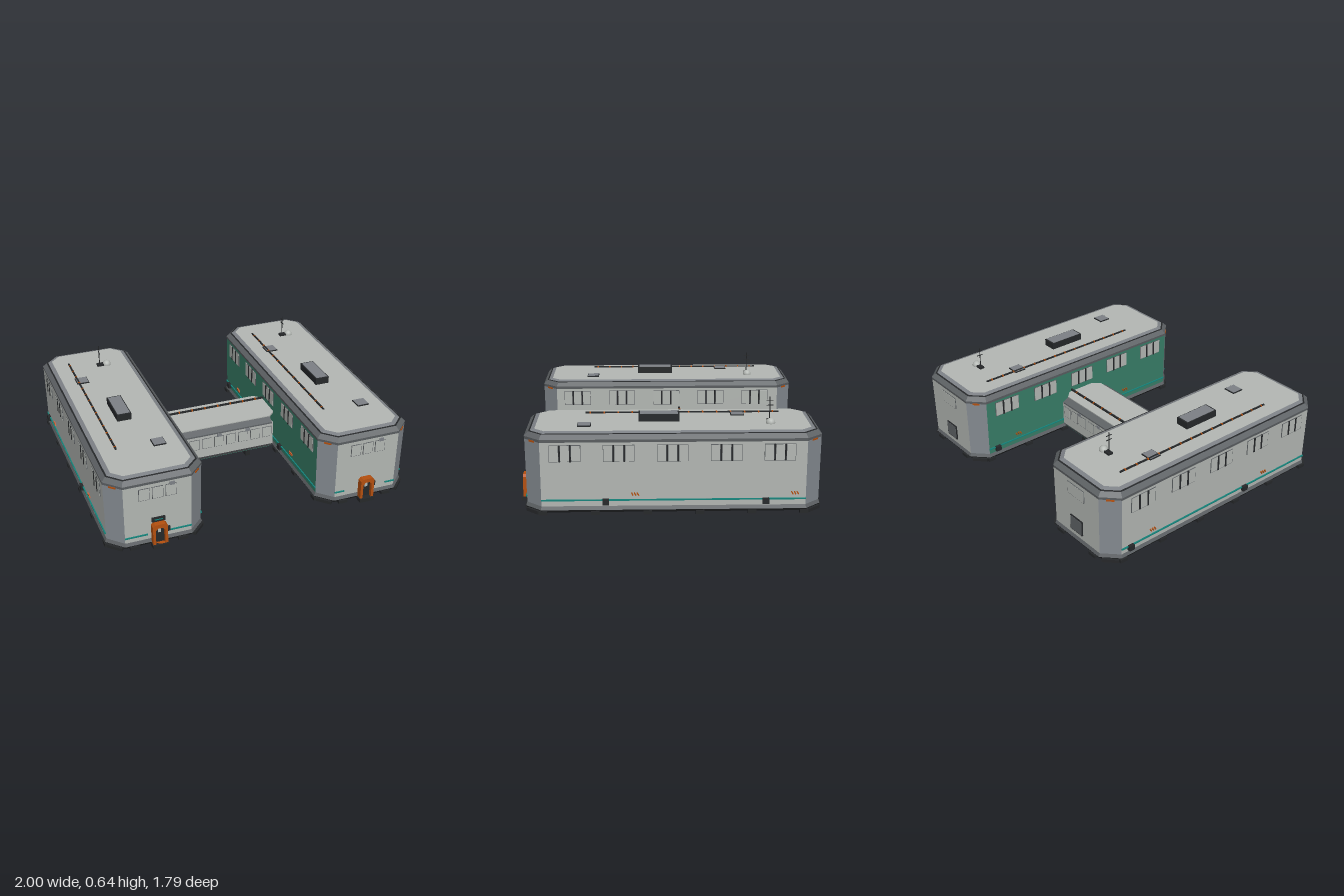
import * as THREE from 'three';

const mat = (name, color) => {
  const m = new THREE.MeshStandardMaterial({ color });
  m.name = name;
  return m;
};

export function createModel() {
  const hull = mat('hullGrey', 0xb4b8b4);
  const corner = mat('cornerGrey', 0x868c92);
  const trim = mat('trimGrey', 0x5f6366);
  const black = mat('black', 0x26282a);
  const orange = mat('orange', 0xb5500f);
  const green = mat('innerGreen', 0x387f69);
  const stripe = mat('stripeTeal', 0x15857c);
  const panel = mat('panelGrey', 0x7d8186);

  const model = new THREE.Group();
  model.name = 'twinStation';

  const add = (parent, name, geo, material, x = 0, y = 0, z = 0) => {
    const m = new THREE.Mesh(geo, material);
    m.name = name;
    m.position.set(x, y, z);
    parent.add(m);
    return m;
  };
  const box = (parent, name, material, w, h, d, x, y, z) =>
    add(parent, name, new THREE.BoxGeometry(w, h, d), material, x, y, z);

  const A = 0.305, B = 0.867, C = 0.095, MZ = -0.022;

  // Long octagon at a given height, moved in by an inset
  const ring = ([inset, y]) => {
    const a = A - inset, b = B - inset, c = C - inset * 0.586;
    return [[a, b - c], [a, c - b], [a - c, -b], [c - a, -b], [-a, c - b], [-a, b - c], [c - a, b], [a - c, b]]
      .map(([x, z]) => [x, y, z]);
  };
  // One band between two octagons; pick(edge) selects the sides to build
  const band = (parent, name, material, lo, hi, pick = () => true) => {
    const p = ring(lo), q = ring(hi), v = [];
    for (let i = 0; i < 8; i++) {
      if (!pick(i)) continue;
      const j = (i + 1) % 8;
      v.push(...p[i], ...p[j], ...q[j], ...p[i], ...q[j], ...q[i]);
    }
    return fromVerts(parent, name, material, v);
  };
  const cap = (parent, name, material, level, up) => {
    const p = ring(level), v = [];
    for (let i = 1; i < 7; i++) v.push(...p[0], ...(up ? p[i] : p[i + 1]), ...(up ? p[i + 1] : p[i]));
    return fromVerts(parent, name, material, v);
  };
  function fromVerts(parent, name, material, v) {
    const g = new THREE.BufferGeometry();
    g.setAttribute('position', new THREE.Float32BufferAttribute(v, 3));
    g.computeVertexNormals();
    return add(parent, name, g, material);
  }

  function buildModule(cx, isLeft) {
    const g = new THREE.Group();
    g.name = isLeft ? 'leftModule' : 'rightModule';
    g.position.set(cx, 0, MZ);
    model.add(g);
    const W0 = [0.008, 0.05], W1 = [0.002, 0.435];

    // Shell, from the floor up to the roof
    cap(g, 'floor', green, [0.01, 0.012], false);
    band(g, 'baseSkirt', black, [0.01, 0.012], [0, 0.028]);
    band(g, 'baseTrim', trim, [0, 0.028], W0);
    band(g, 'walls', hull, W0, W1, i => i % 2 === 0 && !(isLeft && i === 4));
    if (isLeft) band(g, 'innerWall', green, W0, W1, i => i === 4);
    band(g, 'cornerPanels', corner, W0, W1, i => i % 2 === 1);
    band(g, 'roofLip', trim, W1, [0, 0.452]);
    band(g, 'roofSlope', trim, [0, 0.452], [0.025, 0.477]);
    band(g, 'roofSeam', black, [0.025, 0.477], [0.035, 0.48]);
    band(g, 'roofRim', panel, [0.035, 0.48], [0.06, 0.488]);
    cap(g, 'roof', hull, [0.06, 0.488], true);

    // Long sides: window groups, stripe, lamps, hazard marks
    for (const s of [-1, 1]) {
      const x = s * 0.302;
      for (let k = -2; k <= 2; k++) {
        const zc = 0.007 + k * 0.31;
        for (const o of [-0.063, 0, 0.063]) {
          box(g, 'windowFrame', trim, 0.008, 0.1, 0.056, x, 0.37, zc + o);
          box(g, 'windowPane', hull, 0.009, 0.094, 0.05, x + s * 0.001, 0.37, zc + o);
        }
        for (const o of [-0.031, 0.031]) box(g, 'windowBar', black, 0.014, 0.1, 0.009, x + s * 0.002, 0.37, zc + o);
      }
      box(g, 'sideStripe', stripe, 0.009, 0.008, 1.54, s * 0.301, 0.087, 0);
      const near = s > 0 ? [0.395, -0.535] : [0.225, -0.705];
      const far = s > 0 ? [0.225, -0.705] : [0.395, -0.535];
      for (const z of near) box(g, 'sideLamp', black, 0.025, 0.034, 0.038, s * 0.305, 0.077, z);
      for (const z of far) for (const o of [-0.016, 0, 0.016]) {
        box(g, 'hazardMark', orange, 0.009, 0.02, 0.007, s * 0.301, 0.122, z + o).rotation.x = s * 0.5;
      }
      for (let k = 0; k < 6; k++) box(g, 'baseFoot', black, 0.03, 0.022, 0.05, s * 0.297, 0.011, -0.76 + k * 0.304);
      // Corner marks and corner feet
      for (const e of [-1, 1]) {
        const mark = box(g, 'cornerMark', orange, 0.045, 0.01, 0.008, s * (A - C / 2 - 0.001), 0.433, e * (B - C / 2 - 0.001));
        mark.rotation.y = s * e * Math.PI / 4;
        const foot = box(g, 'cornerFoot', black, 0.1, 0.02, 0.025, s * (A - C / 2), 0.012, e * (B - C / 2));
        foot.rotation.y = s * e * Math.PI / 4;
        box(g, 'endFoot', black, 0.06, 0.02, 0.03, s * 0.15, 0.011, e * 0.86);
      }
    }

    // Front: windows, stripe, doorway
    const f = 0.864;
    for (const o of [-0.082, 0, 0.082]) {
      box(g, 'frontWindowFrame', trim, 0.068, 0.08, 0.008, o, 0.373, f);
      box(g, 'frontWindowPane', hull, 0.062, 0.074, 0.009, o, 0.373, f + 0.001);
    }
    box(g, 'frontVent', panel, 0.03, 0.022, 0.014, 0.09, 0.416, f);
    const len = isLeft ? 0.065 : 0.14;
    for (const s of [-1, 1]) box(g, 'frontStripe', stripe, len, 0.008, 0.009, s * (0.208 - len / 2), 0.085, f - 0.002);

    const arch = (w, h, r) => {
      const a = new THREE.Shape();
      a.moveTo(-w, 0); a.lineTo(w, 0); a.lineTo(w, h - r); a.lineTo(w - r, h);
      a.lineTo(r - w, h); a.lineTo(-w, h - r); a.closePath();
      return a;
    };
    const frame = arch(0.046, 0.138, 0.014);
    frame.holes.push(arch(0.029, 0.112, 0.016));
    add(g, 'doorFrame', new THREE.ExtrudeGeometry(frame, { depth: 0.04, bevelEnabled: false }), orange, 0, 0.025, 0.86);
    box(g, 'door', black, 0.06, 0.115, 0.02, 0, 0.083, 0.866);
    box(g, 'doorWindow', hull, 0.02, 0.025, 0.008, 0, 0.108, 0.875);
    box(g, 'doorStep', black, 0.1, 0.025, 0.05, 0, 0.0125, 0.885);
    box(g, 'doorPanel', black, 0.016, 0.032, 0.016, 0.062, 0.1, f);
    if (!isLeft) {
      box(g, 'doorSign', black, 0.082, 0.03, 0.012, 0, 0.182, f);
      box(g, 'signStrip', stripe, 0.05, 0.006, 0.006, 0, 0.182, f + 0.005);
    }

    // Back: wide window and service panel
    box(g, 'backWindowFrame', trim, 0.156, 0.08, 0.008, 0, 0.373, -f);
    box(g, 'backWindowPane', hull, 0.15, 0.074, 0.009, 0, 0.373, -f - 0.001);
    box(g, 'servicePanelFrame', black, 0.11, 0.1, 0.009, 0, 0.135, -f);
    box(g, 'servicePanel', trim, 0.1, 0.09, 0.009, 0, 0.135, -f - 0.002);

    // Roof equipment
    box(g, 'roofRail', black, 0.01, 0.008, 1.185, -0.147, 0.497, -0.066);
    for (let k = 0; k < 14; k++) box(g, 'railClip', orange, 0.013, 0.009, 0.009, -0.147, 0.4975, -0.62 + k * 0.086);
    box(g, 'ventUnit', black, 0.092, 0.045, 0.245, 0, 0.51, 0.08);
    box(g, 'ventLid', panel, 0.08, 0.004, 0.225, 0, 0.533, 0.08);
    for (const [x, z] of [[-0.12, -0.398], [0.118, 0.522]]) {
      box(g, 'hatchRim', black, 0.08, 0.008, 0.08, x, 0.491, z);
      box(g, 'hatch', panel, 0.073, 0.009, 0.073, x, 0.493, z);
    }
    add(g, 'dome', new THREE.SphereGeometry(0.028, 16, 10), hull, 0.1, 0.492, -0.578);
    box(g, 'mastBase', black, 0.045, 0.015, 0.032, 0.055, 0.494, -0.578);
    add(g, 'mast', new THREE.CylinderGeometry(0.003, 0.003, 0.145, 6), black, 0.05, 0.564, -0.578);
    for (const y of [0.585, 0.615]) box(g, 'mastBar', black, 0.004, 0.004, 0.042, 0.05, y, -0.578);
  }
  buildModule(-0.6825, false);
  buildModule(0.6825, true);

  // Link corridor between the modules
  const link = new THREE.Group();
  link.name = 'corridor';
  link.position.z = -0.025;
  model.add(link);
  const prism = (name, mats, half, pts) => {
    const s = new THREE.Shape([...pts, ...pts.map(([z, y]) => [-z, y]).reverse()].map(p => new THREE.Vector2(...p)));
    const geo = new THREE.ExtrudeGeometry(s, { depth: half * 2, bevelEnabled: false });
    geo.translate(0, 0, -half).rotateY(Math.PI / 2);
    add(link, name, geo, mats);
  };
  prism('corridorBase', trim, 0.345, [[0.165, 0.06], [0.18, 0.085]]);
  prism('corridorWalls', [green, hull], 0.345, [[0.18, 0.085], [0.182, 0.25]]);
  prism('corridorShoulder', trim, 0.335, [[0.186, 0.245], [0.186, 0.255], [0.145, 0.277]]);
  box(link, 'corridorFloor', green, 0.68, 0.006, 0.325, 0, 0.059, 0);
  // Roof slab with tapered ends
  const slab = new THREE.Shape([[-0.38, -0.1], [-0.335, -0.145], [0.335, -0.145], [0.38, -0.1],
    [0.38, 0.1], [0.335, 0.145], [-0.335, 0.145], [-0.38, 0.1]].map(p => new THREE.Vector2(...p)));
  const slabGeo = new THREE.ExtrudeGeometry(slab, { depth: 0.012, bevelEnabled: false }).rotateX(-Math.PI / 2);
  add(link, 'corridorRoof', slabGeo, hull, 0, 0.271, 0);
  box(link, 'corridorPipe', black, 0.77, 0.01, 0.012, 0, 0.296, -0.08);
  for (let k = 0; k < 8; k++) box(link, 'pipeClip', orange, 0.009, 0.011, 0.014, -0.32 + k * 0.0915, 0.2965, -0.08);
  for (const s of [-1, 1]) {
    for (let k = 0; k < 8; k++) {
      const x = (k - 3.5) * 0.0855;
      box(link, 'corridorWindowFrame', trim, 0.067, 0.076, 0.008, x, 0.187, s * 0.18);
      box(link, 'corridorWindow', hull, 0.061, 0.07, 0.009, x, 0.187, s * 0.181);
    }
    for (const x of [-0.04, 0.16]) box(link, 'corridorVent', panel, 0.03, 0.02, 0.012, x, 0.232, s * 0.182);
    for (const x of [-0.187, 0.182]) box(link, 'corridorLeg', black, 0.032, 0.06, 0.04, x, 0.03, s * 0.12);
  }
  return model;
}
